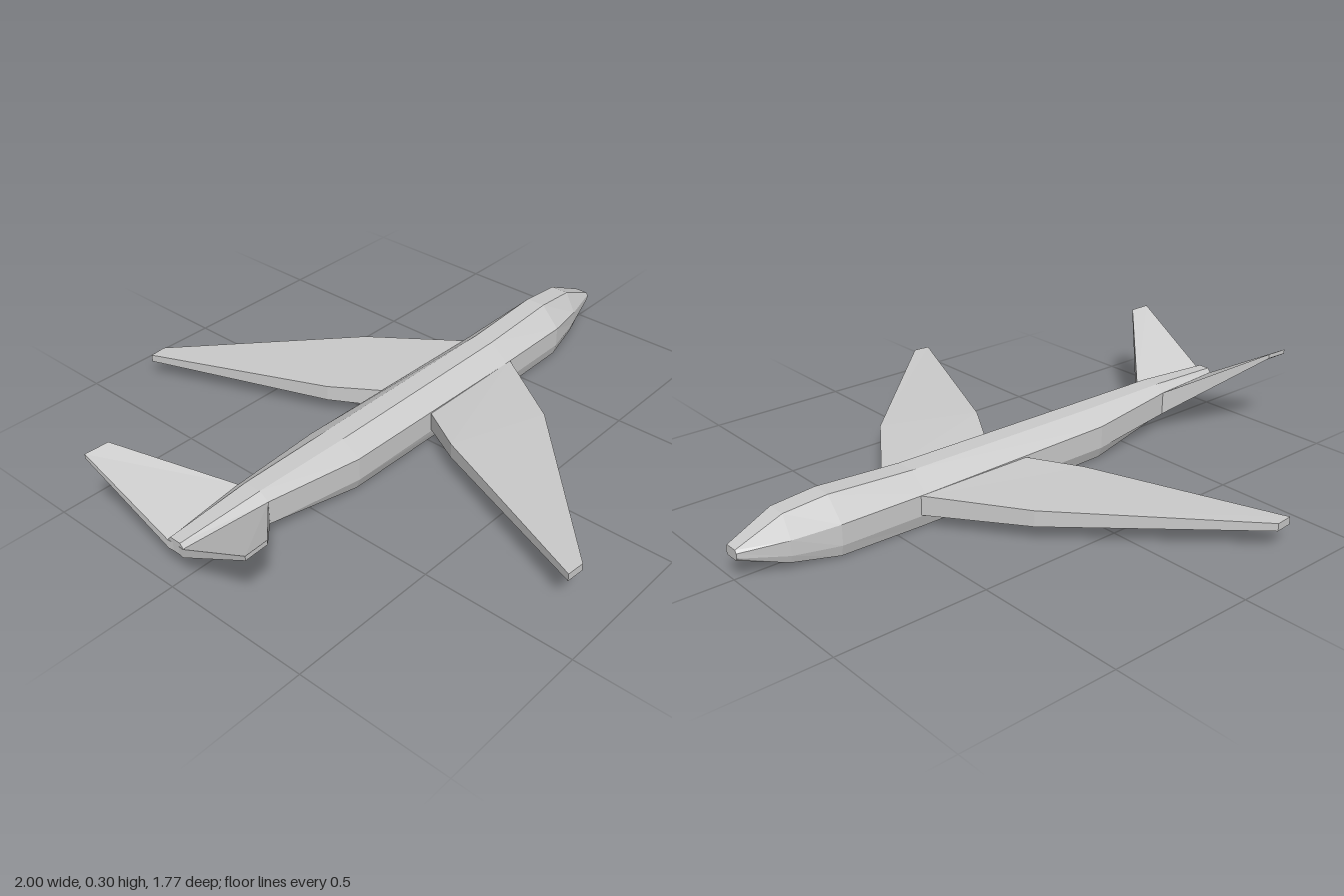
import * as THREE from 'three';

const material = new THREE.MeshStandardMaterial({ color: 0xcccccc, flatShading: true, side: THREE.DoubleSide });

// Skins a list of rings (each a list of [x, y, z]) and caps both ends
function loft(name, rings, flip = false) {
  const pos = [];
  const tri = (a, b, c) => pos.push(...a, ...(flip ? c : b), ...(flip ? b : c));
  const n = rings[0].length;
  for (let i = 0; i < rings.length - 1; i++) {
    for (let j = 0; j < n; j++) {
      const k = (j + 1) % n;
      const [a, b, c, d] = [rings[i][j], rings[i][k], rings[i + 1][k], rings[i + 1][j]];
      tri(a, b, c);
      tri(a, c, d);
    }
  }
  const first = rings[0], last = rings[rings.length - 1];
  for (let j = 1; j < n - 1; j++) {
    tri(first[0], first[j + 1], first[j]);
    tri(last[0], last[j], last[j + 1]);
  }
  const geometry = new THREE.BufferGeometry();
  geometry.setAttribute('position', new THREE.Float32BufferAttribute(pos, 3));
  geometry.computeVertexNormals();
  const mesh = new THREE.Mesh(geometry, material);
  mesh.name = name;
  return mesh;
}

// Eight-sided hull section: height and half width at top, shoulder, chine and keel
function hullRing([x, ...p]) {
  const half = [[p[0], p[1]], [p[2], p[3]], [p[4], p[5]], [p[6], p[7]]];
  return [
    ...half.map(([y, z]) => [x, y, z]),
    ...half.reverse().map(([y, z]) => [x, y, -z]),
  ];
}

// Four-cornered aerofoil section from leading and trailing edges [x, z, top, bottom]
function foilRing(lead, trail, side) {
  return [
    [lead[0], lead[2], side * lead[1]],
    [trail[0], trail[2], side * trail[1]],
    [trail[0], trail[3], side * trail[1]],
    [lead[0], lead[3], side * lead[1]],
  ];
}

export function createModel() {
  const group = new THREE.Group();
  group.name = 'aircraft';

  // Fuselage, tail to nose
  const stations = [
    [-0.97, 0.15, 0.02, 0.135, 0.032, 0.11, 0.032, 0.105, 0.02],
    [-0.68, 0.163, 0.03, 0.14, 0.063, 0.06, 0.063, 0.055, 0.05],
    [-0.34, 0.162, 0.034, 0.12, 0.102, 0.042, 0.102, 0.004, 0.088],
    [0.4, 0.165, 0.034, 0.11, 0.102, 0.042, 0.102, 0, 0.09],
    [0.7, 0.182, 0.034, 0.11, 0.1, 0.042, 0.1, 0.005, 0.09],
    [0.85, 0.17, 0.032, 0.1, 0.07, 0.05, 0.068, 0.025, 0.06],
    [1, 0.104, 0.022, 0.095, 0.029, 0.08, 0.029, 0.071, 0.022],
  ];
  group.add(loft('fuselage', stations.map(hullRing), true));

  // Swept wings; the left and right tips sit at slightly different heights
  const wings = [
    { name: 'rightWing', side: 1, shift: -0.02, mid: [0.12, 0.07], tip: [0.13, 0.105] },
    { name: 'leftWing', side: -1, shift: 0, mid: [0.105, 0.052], tip: [0.09, 0.065] },
  ];
  for (const { name, side, shift, mid, tip } of wings) {
    const rings = [
      foilRing([0.45, 0.06, 0.11, 0.044], [0.02, 0.06, 0.11, 0.046], side),
      foilRing([0.42, 0.1, 0.11, 0.045], [0, 0.1, 0.11, 0.048], side),
      foilRing([0.22, 0.387, ...mid], [-0.1, 0.265, ...mid], side),
      foilRing([-0.28 + shift, 0.885, ...tip], [-0.34 + shift, 0.88, ...tip], side),
    ];
    group.add(loft(name, rings, side < 0));
  }

  // V-tail fins
  for (const side of [1, -1]) {
    const rings = [
      foilRing([-0.68, 0.04, 0.14, 0.06], [-0.97, 0.012, 0.135, 0.105], side),
      foilRing([-0.68, 0.063, 0.14, 0.06], [-0.972, 0.03, 0.135, 0.105], side),
      foilRing([-0.92, 0.325, 0.3, 0.285], [-1, 0.328, 0.3, 0.285], side),
    ];
    group.add(loft(side > 0 ? 'rightTailFin' : 'leftTailFin', rings, side < 0));
  }
  return group;
}
